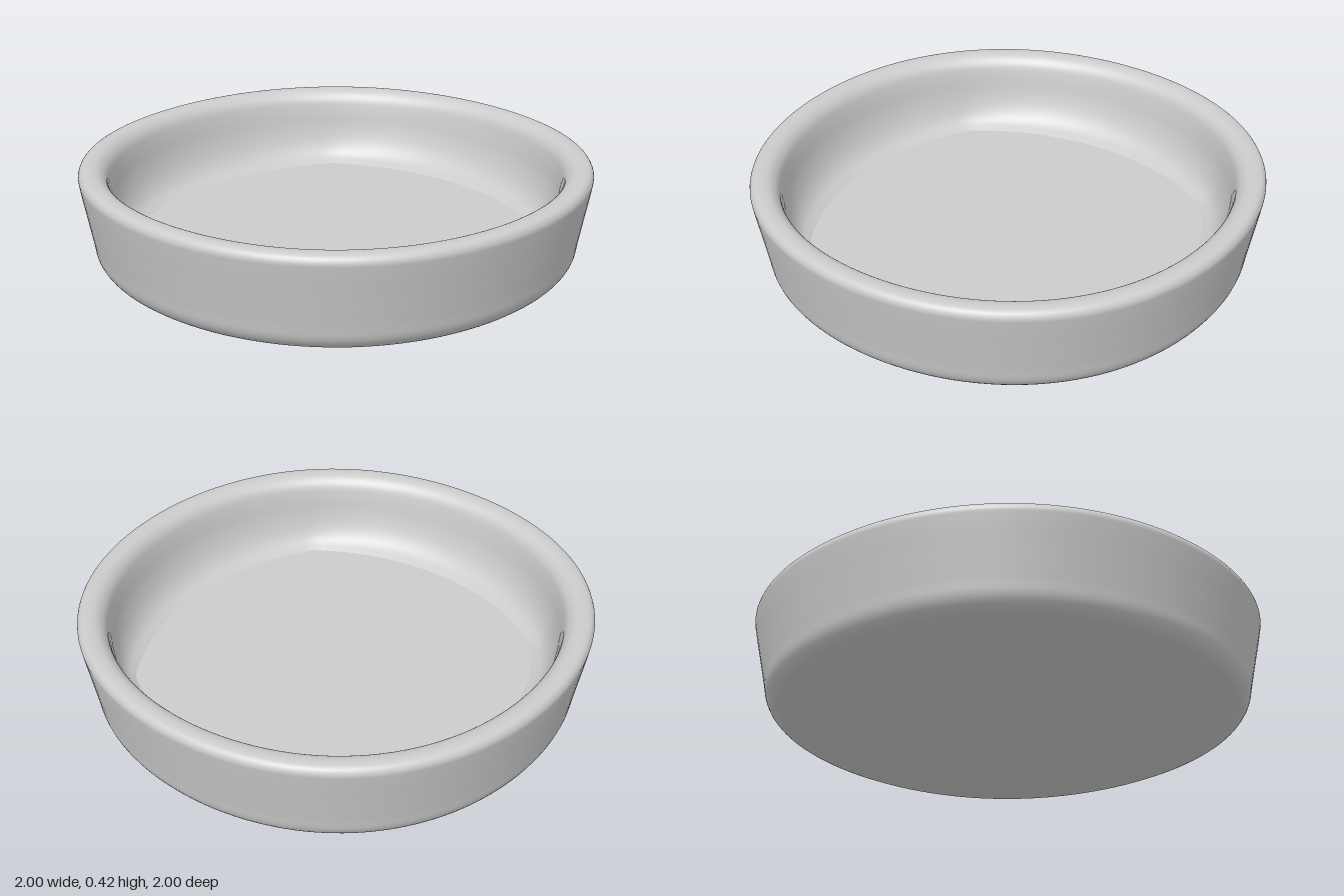
import * as THREE from 'three';
import { mergeVertices } from 'three/addons/utils/BufferGeometryUtils.js';

const SEGMENTS = 128;

// Outline of the outer wall: a circle that is very slightly squared
const outerScale = (a) => 1 + 0.008 * (1 - Math.cos(4 * a));

// Outline of the floor: four shallow arcs meeting at the diagonals
function floorScale(a) {
  const q = Math.PI / 2;
  const t = a - Math.round(a / q) * q;
  const c = 0.325, R = 1.325; // arc centre offset and radius, relative to the floor
  return -c * Math.cos(t) + Math.sqrt(R * R - (c * Math.sin(t)) ** 2);
}

// Revolve a profile, then reshape each ring from outer to floor outline
function squaredLathe(points, floorWeight) {
  let geo = new THREE.LatheGeometry(points, SEGMENTS);
  const pos = geo.attributes.position;
  for (let i = 0; i < pos.count; i++) {
    const x = pos.getX(i), z = pos.getZ(i);
    const a = Math.atan2(x, z);
    const s = THREE.MathUtils.lerp(outerScale(a), floorScale(a), floorWeight(i % points.length));
    pos.setX(i, x * s);
    pos.setZ(i, z * s);
  }
  geo.deleteAttribute('uv');
  geo.deleteAttribute('normal');
  geo = mergeVertices(geo, 1e-5);
  geo.computeVertexNormals();
  return geo;
}

export function createModel() {
  const group = new THREE.Group();
  group.name = 'dish';
  const material = new THREE.MeshStandardMaterial({ color: 0xcccccc, side: THREE.DoubleSide });

  // Shell: underside, flared outer wall, rounded rim, inner wall
  const profile = [
    [0, 0], [0.4, 0.003], [0.7, 0.01], [0.84, 0.02], [0.905, 0.037], [0.938, 0.075],
    [0.952, 0.14], [0.975, 0.26], [0.995, 0.365], [0.998, 0.395], [0.985, 0.416], [0.955, 0.423],
    [0.92, 0.416], [0.893, 0.39], [0.878, 0.34], [0.862, 0.26], [0.835, 0.19], [0.8, 0.147], [0.75, 0.12],
  ].map(([x, y]) => new THREE.Vector3(x, y, 0));
  const curve = new THREE.CatmullRomCurve3(profile, false, 'centripetal');
  const shellPoints = curve.getPoints(72).map((p) => new THREE.Vector2(Math.max(p.x, 0), Math.max(p.y, 0)));
  const last = shellPoints.length - 1;
  const wallStart = Math.round(last * 13 / 18);
  const shell = new THREE.Mesh(
    squaredLathe(shellPoints, (j) => Math.max(0, (j - wallStart) / (last - wallStart)) ** 2), material);
  shell.name = 'shell';

  // Flat inner floor
  const floor = new THREE.Mesh(
    squaredLathe([new THREE.Vector2(0.75, 0.12), new THREE.Vector2(0, 0.12)], () => 1), material);
  floor.name = 'floor';

  group.add(shell, floor);
  return group;
}
